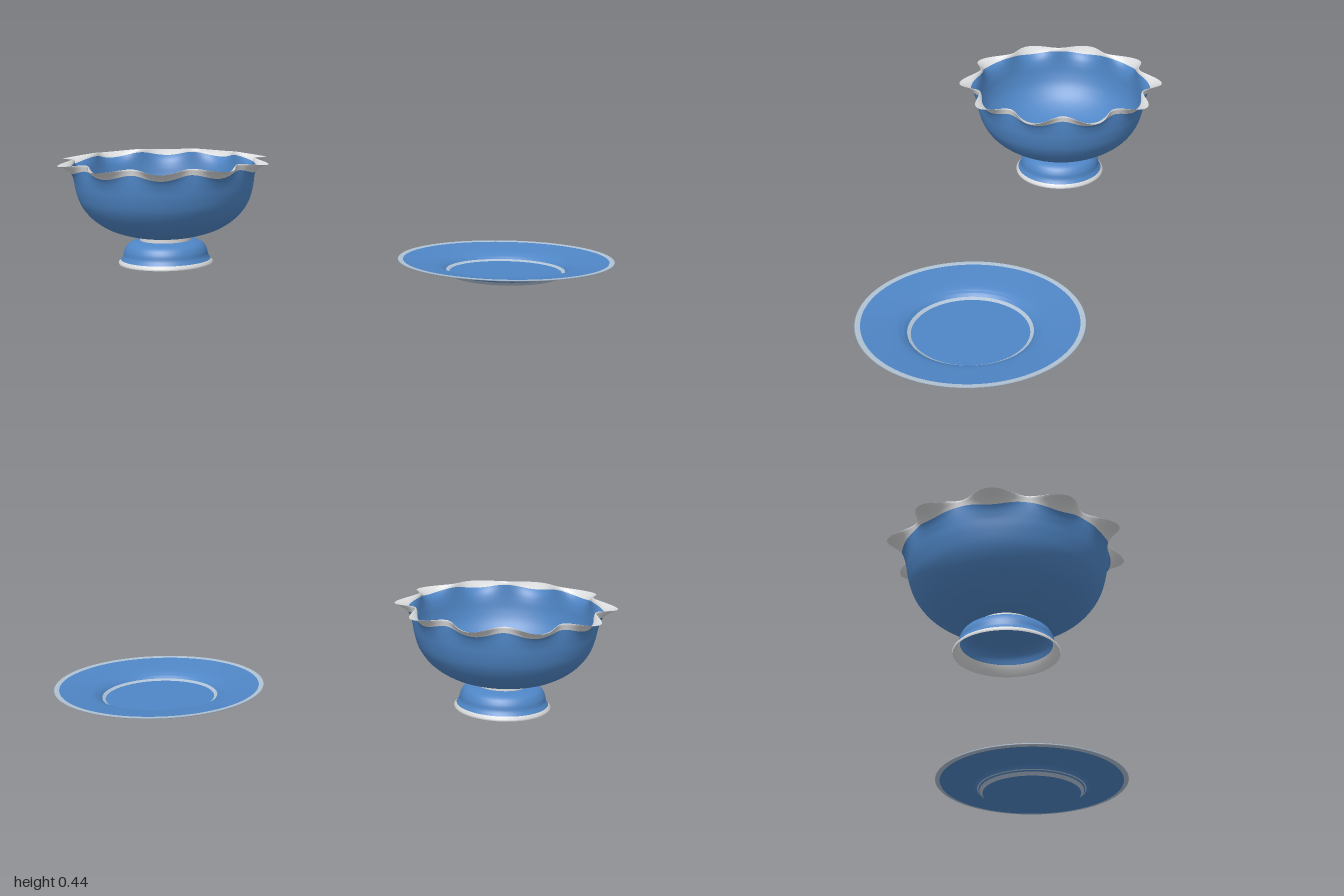
import * as THREE from 'three';
import { mergeVertices } from 'three/addons/utils/BufferGeometryUtils.js';

const blue = new THREE.MeshStandardMaterial({ color: 0x4f86c6 });
blue.name = 'blue glaze';
const white = new THREE.MeshStandardMaterial({ color: 0xd9dadc });
white.name = 'white trim';
const pale = new THREE.MeshStandardMaterial({ color: 0xb0c2d4 });
pale.name = 'pale blue trim';
for (const material of [blue, white, pale]) material.side = THREE.DoubleSide;

const LOBES = 10;

// Flares the lip outwards and slightly down into ten petals; the trim dips towards each petal
function scallop(geometry) {
  const p = geometry.attributes.position;
  for (let i = 0; i < p.count; i++) {
    const x = p.getX(i), z = p.getZ(i);
    const r = Math.hypot(x, z);
    if (r < 1e-6) continue;
    const wave = 0.5 + 0.5 * Math.cos(LOBES * Math.atan2(x, z));
    const s = THREE.MathUtils.clamp((p.getY(i) - 0.34) / 0.103, 0, 1);
    const y = p.getY(i) - 0.13 * wave * s * s * (1 - s);
    const w = Math.pow(Math.max(0, (y - 0.28) / 0.163), 5) * wave;
    const k = (r + 0.074 * w) / r;
    p.setXYZ(i, x * k, y - 0.013 * w, z * k);
  }
}

// Turned part from [radius, height] points; outer walls run upwards, inner walls downwards
function turned(name, material, points, { smooth = 0, petals = false } = {}) {
  let profile = points.map(([r, y]) => new THREE.Vector2(r, y));
  if (smooth) profile = new THREE.SplineCurve(profile).getPoints(smooth);
  profile.forEach((v) => { v.x = Math.max(0, v.x); });
  let geometry = new THREE.LatheGeometry(profile, petals ? 160 : 96);
  if (petals) {
    scallop(geometry);
    geometry.deleteAttribute('uv');
    geometry.deleteAttribute('normal');
    geometry = mergeVertices(geometry, 1e-5);
    geometry.computeVertexNormals();
  }
  const mesh = new THREE.Mesh(geometry, material);
  mesh.name = name;
  return mesh;
}

function createBowl() {
  const bowl = new THREE.Group();
  bowl.name = 'scallopedBowl';
  bowl.add(
    // Bowl wall, rim and inside
    turned('bowlOutside', blue, [[0.105, 0.115], [0.16, 0.126], [0.235, 0.152], [0.303, 0.198], [0.347, 0.255],
      [0.368, 0.315], [0.376, 0.37], [0.378, 0.418]], { smooth: 50, petals: true }),
    turned('bowlRim', white, [[0.378, 0.418], [0.379, 0.428], [0.38, 0.438], [0.378, 0.443], [0.374, 0.441],
      [0.371, 0.435], [0.37, 0.429]], { smooth: 24, petals: true }),
    turned('bowlInside', blue, [[0.37, 0.429], [0.367, 0.37], [0.359, 0.315], [0.338, 0.26], [0.295, 0.207],
      [0.23, 0.164], [0.155, 0.139], [0.08, 0.13], [0, 0.128]], { smooth: 50, petals: true }),
    // Neck and foot
    turned('neck', white, [[0.108, 0.098], [0.108, 0.12]]),
    turned('foot', blue, [[0.188, 0.018], [0.178, 0.035], [0.173, 0.058], [0.16, 0.08], [0.138, 0.093],
      [0.108, 0.1]], { smooth: 24 }),
    turned('footRim', white, [[0.196, 0], [0.198, 0.008], [0.188, 0.018]]),
    // Hollow underside of the foot
    turned('footInside', blue, [[0, 0.094], [0.1, 0.09], [0.14, 0.08], [0.16, 0.062], [0.17, 0.038]], { smooth: 24 }),
    turned('footInsideRim', white, [[0.17, 0.038], [0.18, 0.016], [0.196, 0]]),
  );
  return bowl;
}

function createSaucer() {
  const saucer = new THREE.Group();
  saucer.name = 'saucer';
  saucer.add(
    // Upper side, from the edge to the well
    turned('saucerEdge', pale, [[0.415, 0.056], [0.434, 0.059], [0.437, 0.062], [0.434, 0.065], [0.415, 0.062]]),
    turned('saucerTop', blue, [[0.415, 0.062], [0.35, 0.054], [0.295, 0.046], [0.265, 0.037], [0.246, 0.022]],
      { smooth: 20 }),
    turned('wellRing', pale, [[0.246, 0.022], [0.226, 0.013]]),
    turned('wellFloor', blue, [[0.226, 0.013], [0, 0.013]]),
    // Underside
    turned('saucerUnderside', blue, [[0.235, 0.014], [0.243, 0.022], [0.26, 0.034], [0.3, 0.041], [0.36, 0.048],
      [0.415, 0.056]], { smooth: 20 }),
    turned('baseRing', pale, [[0.222, 0], [0.235, 0.014]]),
    turned('baseFloor', blue, [[0, 0], [0.222, 0]]),
  );
  return saucer;
}

export function createModel() {
  const model = new THREE.Group();
  model.name = 'bowlAndSaucer';
  const bowl = createBowl();
  bowl.position.set(-0.455, 0, -0.55);
  const saucer = createSaucer();
  saucer.position.set(0.445, 0, 0.56);
  model.add(bowl, saucer);
  return model;
}
